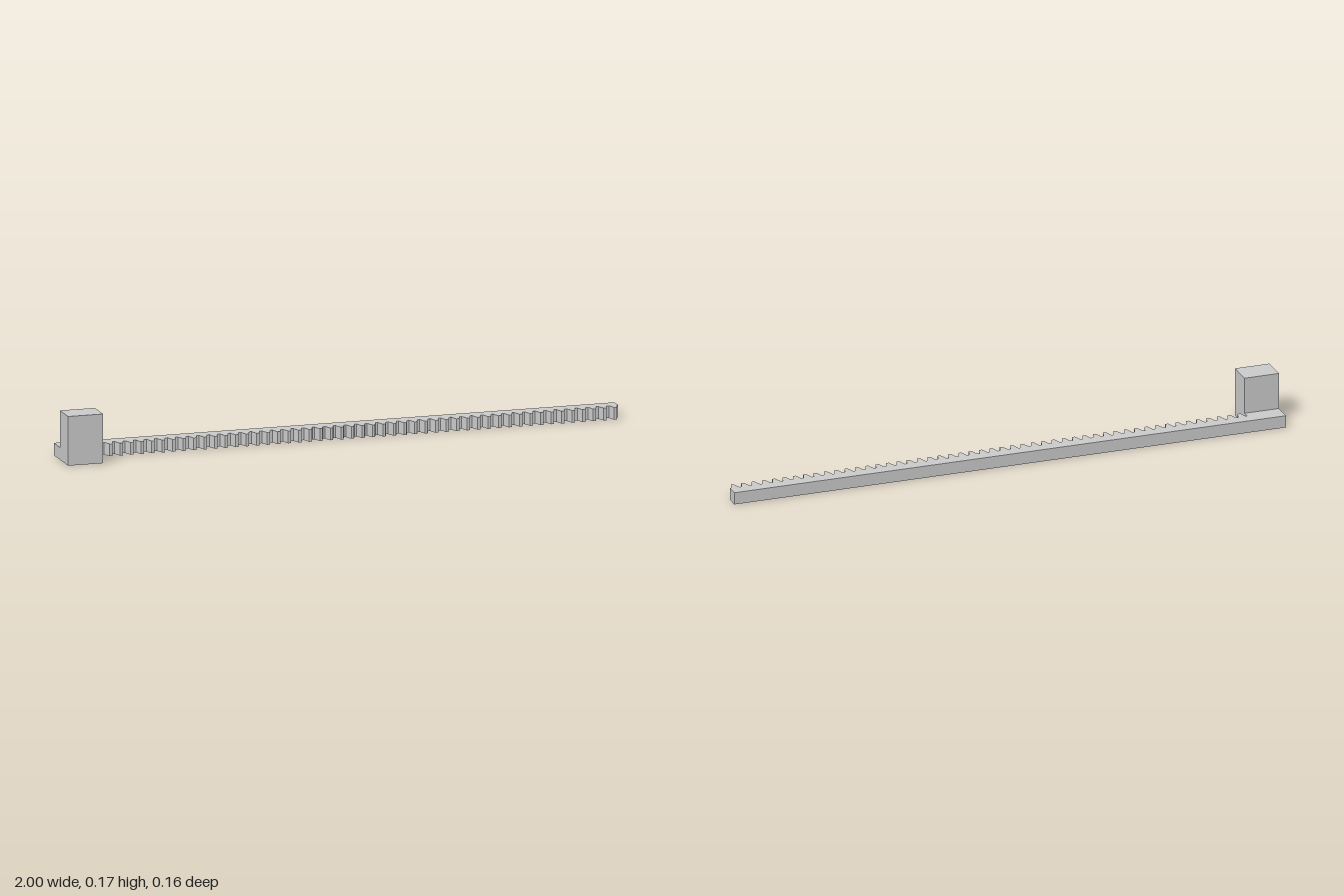
import * as THREE from 'three';

const material = new THREE.MeshStandardMaterial({ color: 0xcccccc, flatShading: true });
const smooth = new THREE.MeshStandardMaterial({ color: 0xcccccc, side: THREE.BackSide });

const BAR_H = 0.043, BACK = -0.081, ROOT = -0.038, TIP = -0.009;
const BLOCK = { x0: -1, x1: -0.875, z0: -0.012, z1: 0.082, h: 0.172 };
const TEETH = 50, PITCH = (1 - BLOCK.x1) / TEETH;
const HOLE = { x: -0.9375, z: 0.035, r: 0.041, depth: 0.13 };

// Extrude an outline drawn in (x, z) upward from y0 to y1
function extrudeUp(shape, y0, y1) {
  const g = new THREE.ExtrudeGeometry(shape, { depth: y1 - y0, bevelEnabled: false, curveSegments: 24 });
  return g.rotateX(-Math.PI / 2).translate(0, y0, 0);
}
// The rotation maps shape y to -z
const point = (x, z) => new THREE.Vector2(x, -z);

function add(group, name, geometry, mat = material) {
  const mesh = new THREE.Mesh(geometry, mat);
  mesh.name = name;
  group.add(mesh);
  return mesh;
}

function rectangle(x0, x1, z0, z1) {
  return new THREE.Shape([point(x0, z1), point(x1, z1), point(x1, z0), point(x0, z0)]);
}

export function createModel() {
  const group = new THREE.Group();
  group.name = 'toothedRack';

  // Toothed bar: a straight back, a foot behind the block and trapezoid teeth
  const outline = [point(-1, BACK), point(-1, BLOCK.z0), point(BLOCK.x1, BLOCK.z0), point(BLOCK.x1, ROOT)];
  for (let i = 0; i < TEETH; i++) {
    const x = BLOCK.x1 + (i + 0.5) * PITCH;
    outline.push(point(x - 0.0148, ROOT), point(x - 0.0051, TIP), point(x + 0.0051, TIP), point(x + 0.0148, ROOT));
  }
  outline.push(point(1, ROOT), point(1, BACK));
  add(group, 'toothedBar', extrudeUp(new THREE.Shape(outline), 0, BAR_H));

  // End block: bored lower part and solid cap
  const bored = rectangle(BLOCK.x0, BLOCK.x1, BLOCK.z0, BLOCK.z1);
  const hole = new THREE.Path();
  hole.absarc(HOLE.x, -HOLE.z, HOLE.r, 0, Math.PI * 2, true);
  bored.holes.push(hole);
  add(group, 'boredBlock', extrudeUp(bored, 0, HOLE.depth));
  add(group, 'blockCap', extrudeUp(rectangle(BLOCK.x0, BLOCK.x1, BLOCK.z0, BLOCK.z1), HOLE.depth, BLOCK.h));

  // Smooth lining of the blind hole
  const r = HOLE.r - 0.0004;
  const lining = new THREE.CylinderGeometry(r, r, HOLE.depth, 48, 1, true);
  add(group, 'holeLining', lining, smooth).position.set(HOLE.x, HOLE.depth / 2, HOLE.z);

  return group;
}
